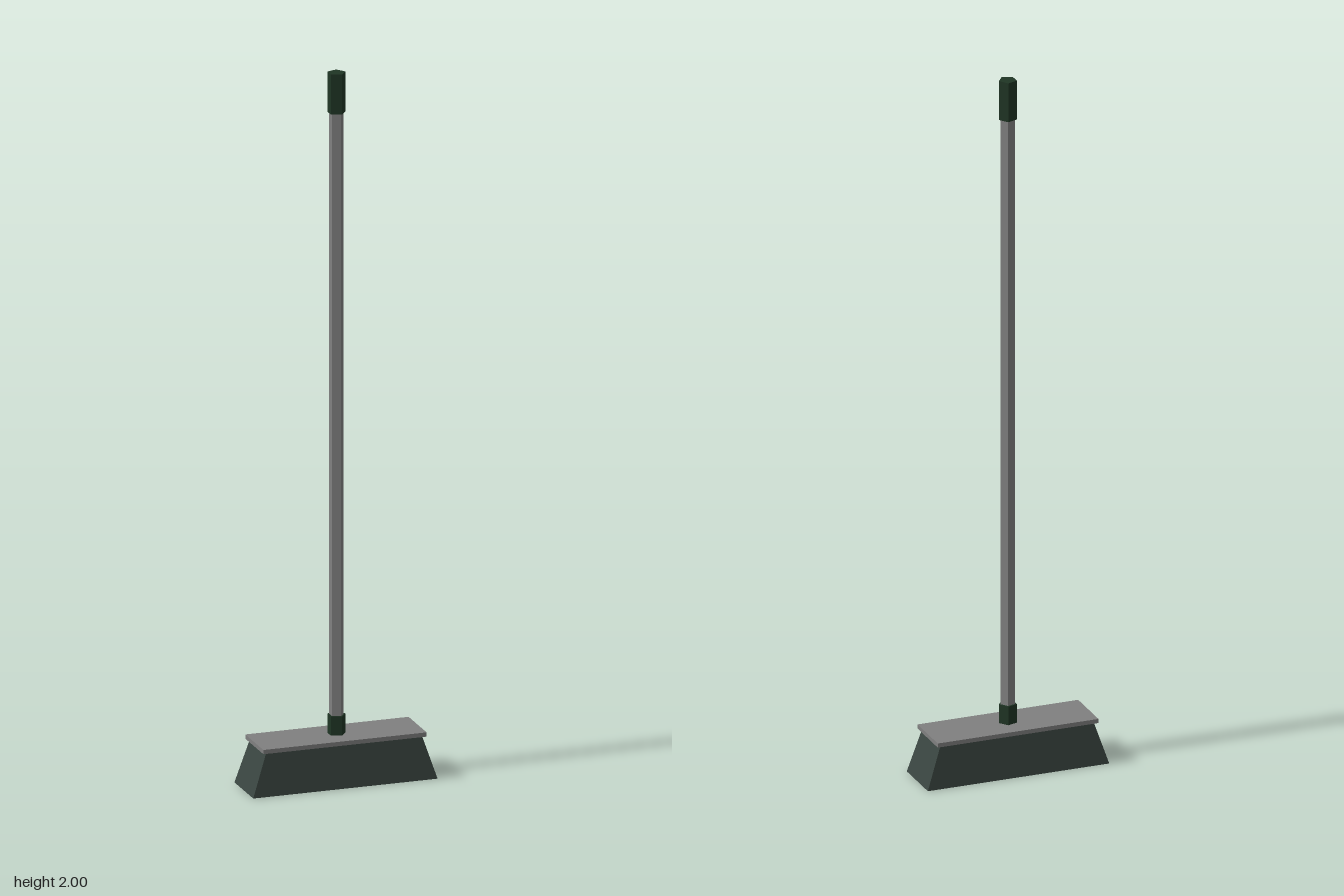
import * as THREE from 'three';

const material = (name, color) => {
  const m = new THREE.MeshStandardMaterial({ color, flatShading: true });
  m.name = name;
  return m;
};

export function createModel() {
  const group = new THREE.Group();
  group.name = 'broom';
  const grey = material('grey', 0x808080);
  const green = material('dark green', 0x1f3524);
  const bristle = material('bristle grey green', 0x3a4641);

  const add = (name, geometry, mat, y0, y1) => {
    const mesh = new THREE.Mesh(geometry, mat);
    mesh.name = name;
    mesh.position.y = (y0 + y1) / 2;
    group.add(mesh);
    return mesh;
  };

  // Five-sided rod with one corner pointing to +x
  const rod = (name, radius, y0, y1, mat) => {
    const geometry = new THREE.CylinderGeometry(radius, radius, y1 - y0, 5, 1, false, Math.PI / 2);
    add(name, geometry, mat, y0, y1).position.x = 0.001;
  };

  // Bristle block, narrowing towards the top
  const block = new THREE.BoxGeometry(0.526, 0.122, 0.152);
  const p = block.attributes.position;
  for (let i = 0; i < p.count; i++) {
    if (p.getY(i) > 0) {
      p.setX(i, p.getX(i) * 0.845);
      p.setZ(i, p.getZ(i) * 0.86);
    }
  }
  block.computeVertexNormals();
  add('bristles', block, bristle, 0, 0.122);

  // Head plate over the bristles
  add('headPlate', new THREE.BoxGeometry(0.466, 0.012, 0.146), grey, 0.121, 0.133);

  // Handle with socket and end grip
  rod('socket', 0.0255, 0.128, 0.187, green);
  rod('pole', 0.0205, 0.15, 1.92, grey);
  rod('grip', 0.0255, 1.887, 2, green);

  return group;
}
